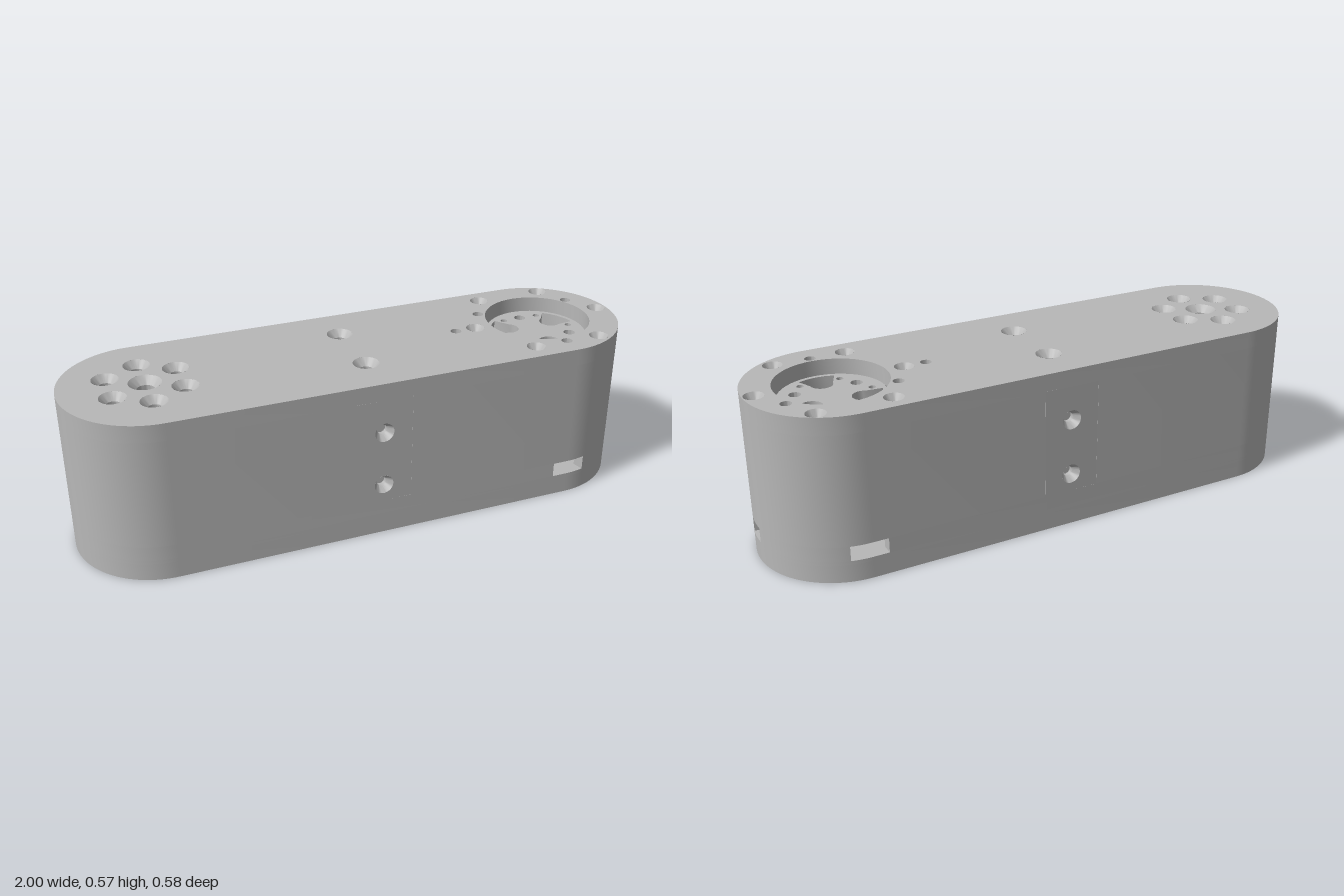
import * as THREE from 'three';
import { toCreasedNormals } from 'three/addons/utils/BufferGeometryUtils.js';

const H = 0.714, R = 0.286, ARC = Math.PI * R, P = 4 * H + 2 * ARC; // rounded outline
const WALL = 0.04, Y0 = 0.062, Y1 = 0.51, TOP = 0.57;
const MOTOR = [0.715, 0], OUTPUT = [-0.715, -0.008];

// Point on the outline at distance u from the front middle, inset by d; returns [x, z]
function outlinePoint(u, d = 0) {
  u = ((u % P) + P) % P;
  const r = R - d;
  let x, z, a;
  if (u <= H) [x, z] = [u, r];
  else if (u <= H + ARC) { a = (u - H) / R; [x, z] = [H + r * Math.sin(a), r * Math.cos(a)]; }
  else if (u <= 3 * H + ARC) [x, z] = [2 * H + ARC - u, -r];
  else if (u <= 3 * H + 2 * ARC) { a = (u - 3 * H - ARC) / R; [x, z] = [-H - r * Math.sin(a), -r * Math.cos(a)]; }
  else [x, z] = [u - P, r];
  return [x, z + 0.006 * x];
}

// Sample distances between u0 and u1, dense on the round ends
function samples(u0, u1) {
  const list = [u0];
  for (const base of [0, P])
    for (const start of [H, 3 * H + ARC])
      for (let k = 0; k <= 48; k++) {
        const u = base + start + (ARC * k) / 48;
        if (u > u0 + 1e-4 && u < u1 - 1e-4) list.push(u);
      }
  return [...list, u1];
}

const toV2 = ([x, z]) => new THREE.Vector2(x, -z);
const around = (n, r, [cx, cz], start = 0) => Array.from({ length: n }, (_, i) => {
  const a = start + (i * 2 * Math.PI) / n;
  return [cx + r * Math.cos(a), cz + r * Math.sin(a)];
});
const circle = (x, y, r) => new THREE.Path().absarc(x, y, r, 0, Math.PI * 2, true);

// Horizontal slab between two heights from a shape drawn in (x, -z)
function slab(shape, y0, y1) {
  const g = new THREE.ExtrudeGeometry(shape, { depth: y1 - y0, bevelEnabled: false, curveSegments: 24 });
  g.rotateX(-Math.PI / 2).translate(0, y0, 0);
  return toCreasedNormals(g, 0.5);
}

// Lining of a screw hole: cone, bore, then a floor or an open end; mouth at y = 0
function holeLining(hole) {
  const { r, bore = r * 0.52, cone = 0.025, depth = 0.059, open = false } = hole;
  const pts = [[r, 0], [bore, -cone], [bore, -depth], [open ? r : 0, -depth]];
  const g = new THREE.LatheGeometry(pts.map(p => new THREE.Vector2(...p)), 28);
  return toCreasedNormals(g, 0.5);
}

export function createModel() {
  const model = new THREE.Group();
  const grey = new THREE.MeshStandardMaterial({ color: 0xb8b8b8, side: THREE.DoubleSide });
  grey.name = 'grey';
  const add = (name, geometry, parent = model) => {
    const mesh = new THREE.Mesh(geometry, grey);
    mesh.name = name;
    parent.add(mesh);
    return mesh;
  };
  const group = name => {
    const g = new THREE.Group();
    g.name = name;
    model.add(g);
    return g;
  };

  // Cover plate with lined holes and one large opening
  function cover(name, y0, y1, holes, opening, faceUp) {
    const g = group(name);
    const shape = new THREE.Shape(samples(0, P).slice(0, -1).map(u => toV2(outlinePoint(u))));
    const [[ox, oz], or] = opening;
    shape.holes.push(circle(ox, -oz, or));
    for (const h of holes) shape.holes.push(circle(h.at[0], -h.at[1], h.r));
    add(name + 'Plate', slab(shape, y0, y1), g);
    for (const h of holes) {
      const m = add('screwHole', holeLining(h), g);
      m.position.set(h.at[0], faceUp ? y1 : y0, h.at[1]);
      if (!faceUp) m.rotation.x = Math.PI;
    }
  }
  const make = (list, options) => list.map(at => ({ at, ...options }));
  const middle = [[0, -0.128], [0, 0.12]];

  cover('topCover', Y1, TOP, [
    ...make([OUTPUT], { r: 0.055, bore: 0.03, open: true }),
    ...make(around(6, 0.135, OUTPUT, Math.PI / 6), { r: 0.045, bore: 0.023, open: true }),
    ...make(middle, { r: 0.045 }),
    ...make(around(6, 0.248, MOTOR), { r: 0.033 }),
    ...make([[0.39, 0], [0.53, -0.105], [0.895, -0.105], [0.713, 0.212]], { r: 0.019, bore: 0.0185 }),
  ], [MOTOR, 0.187], true);

  cover('bottomCover', 0, Y0, [
    ...make(around(4, 0.195, MOTOR, Math.PI / 4), { r: 0.037 }),
    ...make(middle, { r: 0.045 }),
    ...make(around(4, 0.25, OUTPUT, Math.PI / 4), { r: 0.014, bore: 0.0135 }),
  ], [OUTPUT, 0.225], false);

  // Side wall in bands, leaving gaps for the slots and the screw panels
  const wall = group('sideWall');
  const mid = H + ARC / 2, back = 2 * H + ARC;
  const slots = [[0.66, H + 0.072], [mid - 0.05, mid + 0.03], [H + ARC - 0.072, H + ARC + 0.054]];
  const bands = [
    [Y0, 0.075, [[0, back], [back, P]]],
    [0.075, 0.127, slots.map((s, i) => [s[1], i < 2 ? slots[i + 1][0] : slots[0][0] + P])],
    [0.127, Y1, [[0.1, back - 0.1], [back + 0.1, P - 0.1]]],
  ];
  for (const [y0, y1, parts] of bands)
    for (const [u0, u1] of parts) {
      const us = samples(u0, u1);
      const outer = us.map(u => toV2(outlinePoint(u)));
      const inner = us.map(u => toV2(outlinePoint(u, WALL))).reverse();
      add('wallBand', slab(new THREE.Shape([...outer, ...inner]), y0, y1), wall);
    }

  // Screw panels in the front and back walls
  for (const [name, turn] of [['frontPanel', 0], ['backPanel', Math.PI]]) {
    const g = group(name);
    g.rotation.y = turn;
    const shape = new THREE.Shape([[-0.1, 0.127], [0.1, 0.127], [0.1, Y1], [-0.1, Y1]].map(p => new THREE.Vector2(...p)));
    for (const y of [0.19, 0.39]) {
      shape.holes.push(circle(0, y, 0.034));
      const m = add('screwHole', holeLining({ r: 0.034, depth: WALL }), g);
      m.position.set(0, y, R);
      m.rotation.x = Math.PI / 2;
    }
    const geo = new THREE.ExtrudeGeometry(shape, { depth: WALL, bevelEnabled: false, curveSegments: 24 });
    add('panel', toCreasedNormals(geo.translate(0, 0, R - WALL), 0.5), g);
  }

  // Stepped seat and tube inside the bottom opening
  const seat = [[0.178, Y1], [0.178, Y0], [0.178, 0.02], [0.195, 0.02], [0.195, 0.008],
    [0.21, 0.008], [0.21, 0.016], [0.225, 0.016], [0.225, 0]].reverse();
  const tube = add('bearingTube', toCreasedNormals(
    new THREE.LatheGeometry(seat.map(p => new THREE.Vector2(...p)), 64), 0.5));
  tube.position.set(OUTPUT[0], 0, OUTPUT[1]);

  // Motor face in the top recess: pockets, round holes and small screw holes
  const motor = group('motor');
  motor.position.set(MOTOR[0], 0, MOTOR[1]);
  const face = new THREE.Shape().absarc(0, 0, 0.177, 0, Math.PI * 2, false);
  const tip = Array.from({ length: 13 }, (_, i) => {
    const a = Math.PI * (i / 12);
    return [0.1 - 0.038 * Math.sin(a), 0.038 * Math.cos(a)];
  });
  const rim = [-0.38, -0.19, 0, 0.19, 0.38].map(a => [0.163 * Math.cos(a), 0.163 * Math.sin(a)]);
  for (const deg of [90, 210, 330]) {
    const t = (deg * Math.PI) / 180, c = Math.cos(t), s = Math.sin(t);
    const pocket = [...tip, ...rim].map(([p, q]) => toV2([p * c - q * s, p * s + q * c]));
    face.holes.push(new THREE.Path(pocket));
  }
  for (const [x, z] of around(3, 0.12, [0, 0], Math.PI / 6)) face.holes.push(circle(x, -z, 0.02));
  for (const [x, z] of around(6, 0.135, [0, 0])) face.holes.push(circle(x, -z, 0.012));
  add('motorFace', slab(face, 0.47, 0.52), motor);
  const can = add('motorBody', new THREE.CylinderGeometry(0.187, 0.187, 0.27, 64), motor);
  can.position.y = 0.335;

  return model;
}
